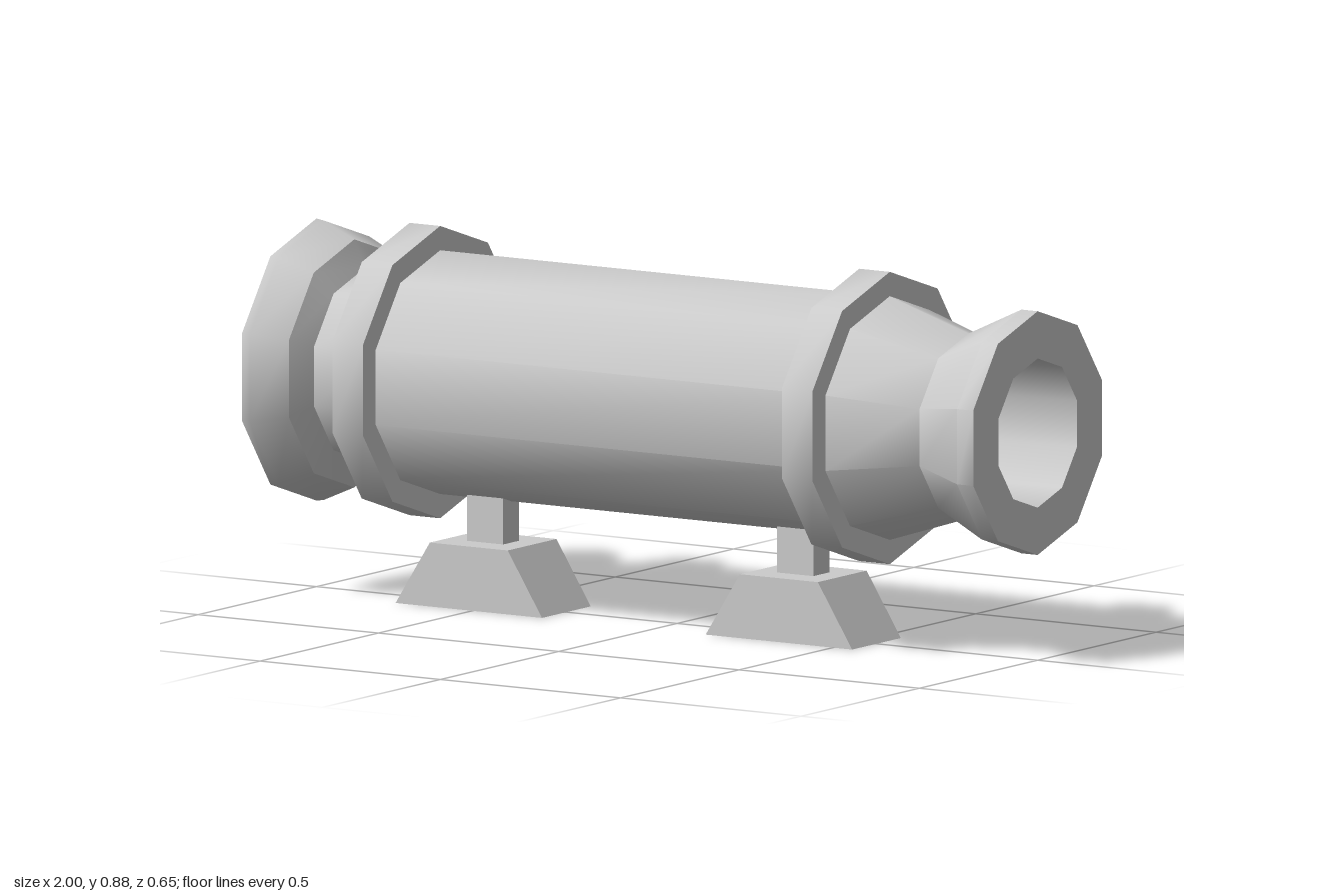
import * as THREE from 'three';
import { toCreasedNormals } from 'three/addons/utils/BufferGeometryUtils.js';

const SIDES = 10;
const AXIS_Y = 0.533;
const material = new THREE.MeshStandardMaterial({ color: 0xcccccc });

// Ten-sided turned part lying along x, from a profile of [x, radius] points
function turned(name, profile) {
  const points = profile.map(([x, r]) => new THREE.Vector2(r, x));
  const lathe = new THREE.LatheGeometry(points, SIDES, Math.PI / 2);
  lathe.rotateZ(-Math.PI / 2);
  const mesh = new THREE.Mesh(toCreasedNormals(lathe, 0.68), material);
  mesh.name = name;
  mesh.position.y = AXIS_Y;
  return mesh;
}

// Raised collar around the tube
function flange(name, x0, x1) {
  return turned(name, [[x0, 0.2], [x0, 0.343], [x1, 0.343], [x1, 0.2]]);
}

// Square post on a trapezoid foot
function support(name, x) {
  const group = new THREE.Group();
  group.name = name;
  group.position.x = x;

  const outline = new THREE.Shape([
    new THREE.Vector2(-0.203, 0),
    new THREE.Vector2(0.203, 0),
    new THREE.Vector2(0.108, 0.15),
    new THREE.Vector2(-0.108, 0.15),
  ]);
  const footGeometry = new THREE.ExtrudeGeometry(outline, { depth: 0.206, bevelEnabled: false });
  footGeometry.translate(0, 0, -0.103);
  const foot = new THREE.Mesh(footGeometry, material);
  foot.name = 'foot';

  const post = new THREE.Mesh(new THREE.BoxGeometry(0.1, 0.15, 0.068), material);
  post.name = 'post';
  post.position.y = 0.215;

  group.add(foot, post);
  return group;
}

export function createModel() {
  const model = new THREE.Group();
  model.name = 'tube';

  // Hollow tube: flared rear bell, neck, barrel, tapered muzzle, then back along the bore
  model.add(turned('barrel', [
    [-1, 0.163], [-1, 0.331], [-0.98, 0.328], [-0.895, 0.291], [-0.865, 0.227],
    [-0.7, 0.227], [-0.7, 0.286], [0.59, 0.286], [0.808, 0.217],
    [0.955, 0.286], [1, 0.286], [1, 0.175], [-1, 0.163],
  ]));

  model.add(flange('rearFlange', -0.742, -0.657));
  model.add(flange('frontFlange', 0.505, 0.59));

  model.add(support('rearSupport', -0.51));
  model.add(support('frontSupport', 0.35));

  return model;
}
